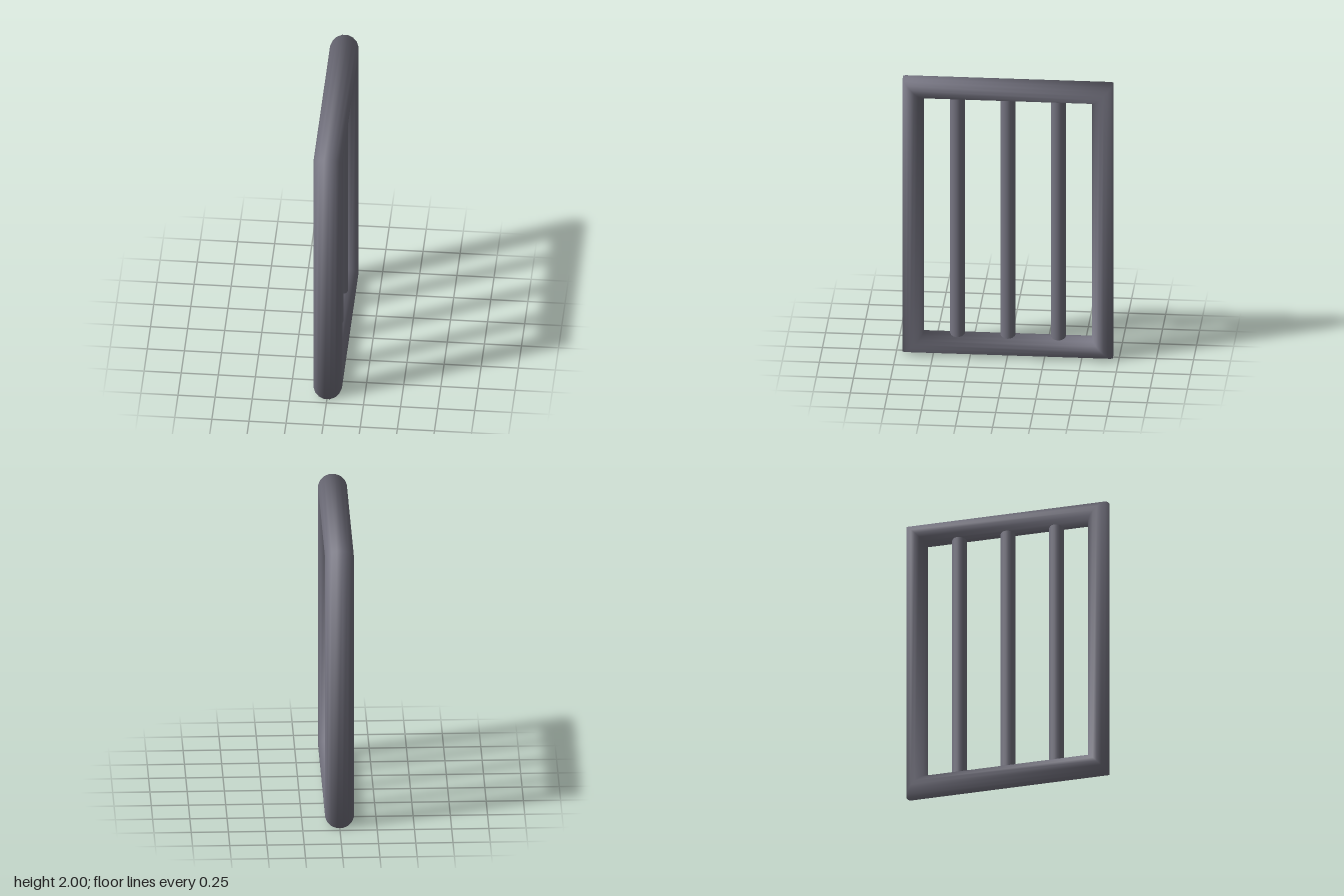
import * as THREE from 'three';

const material = new THREE.MeshStandardMaterial({ color: 0x777683 });

// Oval tube swept around a rectangle, mitred at the four corners
function frameGeometry(halfHeight, halfWidth, depth, thickness, sides) {
  const corners = [[1, 1], [1, -1], [-1, -1], [-1, 1]];
  const positions = [];
  const indices = [];
  corners.forEach(([sy, sz], k) => {
    const next = (k + 1) % corners.length;
    for (let j = 0; j < sides; j++) {
      const angle = ((j + 0.5) / sides) * Math.PI * 2;
      const out = thickness * Math.sin(angle);
      positions.push(depth * Math.cos(angle), 1 + sy * (halfHeight + out), sz * (halfWidth + out));
      const j2 = (j + 1) % sides;
      const a = k * sides + j, b = k * sides + j2;
      const c = next * sides + j, d = next * sides + j2;
      indices.push(a, c, b, b, c, d);
    }
  });
  const geometry = new THREE.BufferGeometry();
  geometry.setAttribute('position', new THREE.Float32BufferAttribute(positions, 3));
  geometry.setIndex(indices);
  geometry.computeVertexNormals();
  return geometry;
}

export function createModel() {
  const model = new THREE.Group();
  model.name = 'barredWindow';

  // Outer frame
  const frame = new THREE.Mesh(frameGeometry(0.93, 0.638, 0.098, 0.071, 16), material);
  frame.name = 'frame';
  model.add(frame);

  // Three upright bars, their ends buried in the frame
  const barGeometry = new THREE.CylinderGeometry(0.05, 0.05, 1.86, 16);
  ['backBar', 'middleBar', 'frontBar'].forEach((name, i) => {
    const bar = new THREE.Mesh(barGeometry, material);
    bar.name = name;
    bar.position.set(0, 1, (i - 1) * 0.34);
    model.add(bar);
  });

  return model;
}
